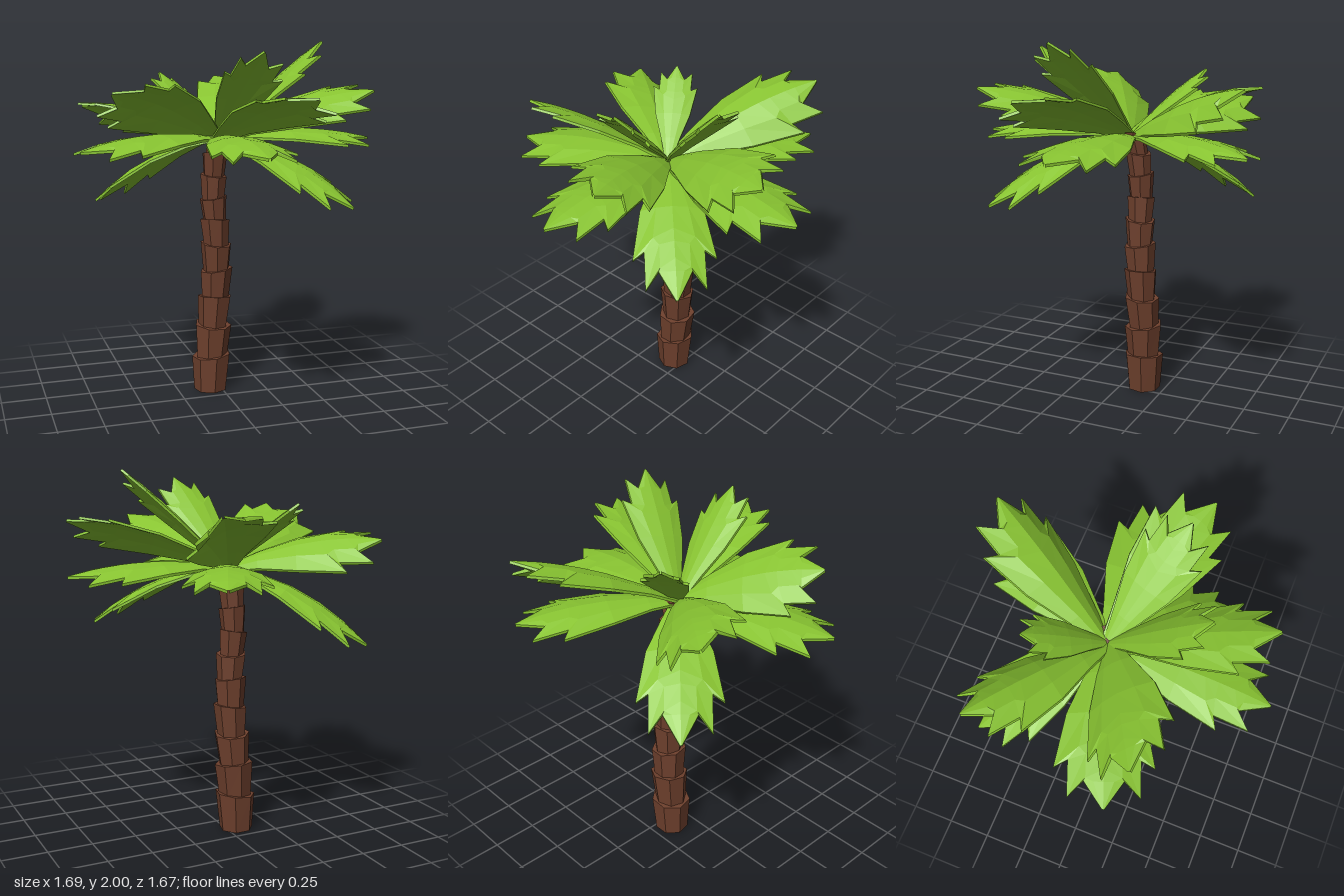
import * as THREE from 'three';

const leafGreen = new THREE.MeshStandardMaterial({ color: 0x88c431, flatShading: true });
leafGreen.name = 'leafGreen';
const barkBrown = new THREE.MeshStandardMaterial({ color: 0x6e402d, flatShading: true });
barkBrown.name = 'barkBrown';

const CROWN = new THREE.Vector3(-0.04, 1.48, -0.05);
const UP = new THREE.Vector3(0, 1, 0);

// Half outline of a frond: [rib position, edge position, edge half-width]
const OUTLINE = [
  [0, 0, 0.16], [0.2, 0.2, 0.42], [0.45, 0.45, 0.78], [0.6, 0.76, 1.0],
  [0.68, 0.72, 0.72], [0.78, 0.93, 0.72], [0.85, 0.84, 0.4], [1, 1, 0.02],
];

// A frond: thin folded slab from the crown to a tip, with pointed teeth.
// Positive roll lowers the side on the right when looking along the frond.
function frondGeometry({ tip, half, roll = 0, arch = 0.05, fold = 0.22 }) {
  const axis = new THREE.Vector3(...tip).sub(CROWN);
  const dir = axis.clone().normalize();
  const flat = dir.clone().cross(UP).normalize();
  const side = flat.clone().applyAxisAngle(dir, roll);
  const normal = side.clone().cross(dir);
  const thickness = 0.014;
  const at = (u, w, drop, lower) => CROWN.clone()
    .addScaledVector(axis, u)
    .addScaledVector(UP, arch * 4 * u * (1 - u))
    .addScaledVector(side, w * half)
    .addScaledVector(normal, -drop * half - (lower ? thickness : 0));

  const pos = [];
  const tri = (a, b, c) => [a, b, c].forEach((p) => pos.push(p.x, p.y, p.z));
  const quad = (a, b, c, d) => { tri(a, b, c); tri(a, c, d); };

  for (const s of [1, -1]) {
    // Rib, middle and edge of each station, for the upper and lower skins
    const [top, bottom] = [false, true].map((low) => OUTLINE.map(([r, e, w]) => [
      at(r, 0, 0, low),
      at(r + (e - r) * 0.3, s * w * 0.5, fold * w * 0.3, low),
      at(e, s * w, fold * w, low),
    ]));
    const face = (a, b, c, d) => (s > 0 ? quad(a, b, c, d) : quad(a, d, c, b));
    for (let i = 0; i < OUTLINE.length - 1; i++) {
      for (let k = 0; k < 2; k++) {
        face(top[i][k], top[i][k + 1], top[i + 1][k + 1], top[i + 1][k]);
        face(bottom[i][k], bottom[i + 1][k], bottom[i + 1][k + 1], bottom[i][k + 1]);
      }
      face(top[i][2], bottom[i][2], bottom[i + 1][2], top[i + 1][2]);
    }
    // Close the stem end
    face(top[0][0], bottom[0][0], bottom[0][2], top[0][2]);
  }
  const geo = new THREE.BufferGeometry();
  geo.setAttribute('position', new THREE.Float32BufferAttribute(pos, 3));
  geo.computeVertexNormals();
  return geo;
}

const FRONDS = [
  // Level ring
  { name: 'levelFrondFront', tip: [-0.05, 1.46, 0.83], half: 0.22 },
  { name: 'levelFrondLeft', tip: [0.84, 1.465, 0.01], half: 0.26 },
  { name: 'levelFrondBack', tip: [0.34, 1.465, -0.82], half: 0.22 },
  { name: 'levelFrondRight', tip: [-0.84, 1.455, 0.25], half: 0.25 },
  // Hanging fronds
  { name: 'hangingFrondFront', tip: [0.53, 1.15, 0.52], half: 0.21, arch: 0.08 },
  { name: 'hangingFrondBack', tip: [-0.61, 1.09, -0.57], half: 0.22, arch: 0.08 },
  // Raised fronds
  { name: 'raisedFrondBackLeft', tip: [0.36, 1.8, -0.8], half: 0.23, roll: 0.4, fold: 0.4 },
  { name: 'raisedFrondLeft', tip: [0.77, 1.74, 0.22], half: 0.22, roll: 0.4 },
  { name: 'raisedFrondFront', tip: [0.23, 1.73, 0.75], half: 0.22, roll: -0.28 },
  { name: 'raisedFrondRight', tip: [-0.69, 1.75, 0.32], half: 0.24, roll: 0.52 },
  { name: 'raisedFrondBackRight', tip: [-0.7, 1.64, -0.54], half: 0.23, roll: 0.42, fold: 0.3 },
  // Steep inner fronds
  { name: 'steepFrondLeft', tip: [0.47, 2.0, 0.18], half: 0.17, roll: 0.25, arch: 0.02 },
  { name: 'steepFrondFront', tip: [0.06, 1.95, 0.44], half: 0.16, roll: -0.2, arch: 0.02 },
  { name: 'steepFrondBack', tip: [-0.28, 1.83, -0.39], half: 0.12, arch: 0.02 },
];

// Trunk rings: [top height, centre x, centre z, top radius]
const RINGS = [
  [0.21, -0.053, -0.128, 0.112], [0.39, -0.043, -0.131, 0.107], [0.56, -0.033, -0.122, 0.099],
  [0.72, -0.026, -0.118, 0.093], [0.87, -0.028, -0.111, 0.089], [1.01, -0.037, -0.109, 0.084],
  [1.135, -0.046, -0.11, 0.077], [1.265, -0.043, -0.107, 0.075], [1.385, -0.04, -0.097, 0.071],
  [1.49, -0.025, -0.077, 0.06],
];

function buildTrunk() {
  const trunk = new THREE.Group();
  trunk.name = 'trunk';
  let prev = [0, -0.06, -0.128, 0.1];
  RINGS.forEach((ring, i) => {
    const [y, x, z, r] = ring;
    const low = prev[0] - (i ? 0.01 : 0);
    const h = y - low;
    const geo = new THREE.CylinderGeometry(r, r * 0.84, h, 7);
    geo.rotateY(i * 0.4);
    // Shear each ring along the trunk's curve and slant its upper rim
    const p = geo.attributes.position;
    for (let k = 0; k < p.count; k++) {
      const t = p.getY(k) / h + 0.5;
      const a = Math.atan2(p.getZ(k), p.getX(k)) + i * 2.1;
      const rim = t > 0.5 && Math.hypot(p.getX(k), p.getZ(k)) > 0.01 ? Math.cos(a) * 0.012 : 0;
      p.setXYZ(k,
        p.getX(k) + prev[1] + (x - prev[1]) * t,
        low + h * t + rim,
        p.getZ(k) + prev[2] + (z - prev[2]) * t);
    }
    geo.computeVertexNormals();
    const mesh = new THREE.Mesh(geo, barkBrown);
    mesh.name = 'trunkRing' + (i + 1);
    trunk.add(mesh);
    prev = ring;
  });
  return trunk;
}

export function createModel() {
  const palm = new THREE.Group();
  palm.name = 'palmTree';
  palm.add(buildTrunk());
  const crown = new THREE.Group();
  crown.name = 'crown';
  for (const frond of FRONDS) {
    const mesh = new THREE.Mesh(frondGeometry(frond), leafGreen);
    mesh.name = frond.name;
    crown.add(mesh);
  }
  palm.add(crown);
  return palm;
}
